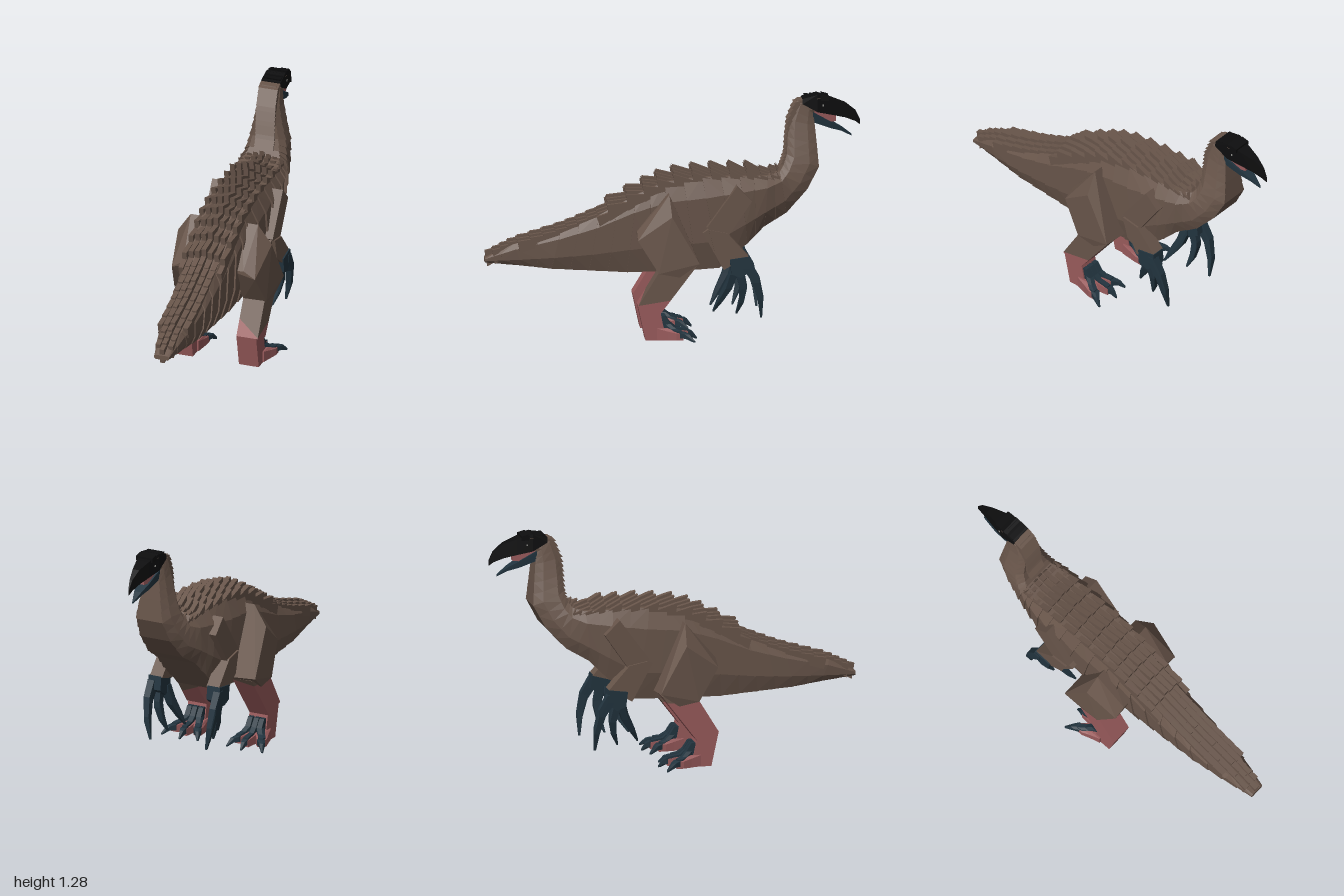
import * as THREE from 'three';
import { ConvexGeometry } from 'three/addons/geometries/ConvexGeometry.js';

const mat = (name, color) => {
  const m = new THREE.MeshStandardMaterial({ color });
  m.name = name;
  return m;
};

export function createModel() {
  const brown = mat('brown plumage', 0x68554a);
  const red = mat('dusty red skin', 0x985a5b);
  const slate = mat('dark slate claws', 0x22343f);
  const black = mat('black beak', 0x0d0d0e);
  const grey = mat('grey eye', 0x8a8a86);

  const root = new THREE.Group();
  root.name = 'featheredDinosaur';
  const group = (name) => {
    const g = new THREE.Group();
    g.name = name;
    root.add(g);
    return g;
  };

  // Faceted solid around a few [x, y, z] corners
  const hull = (parent, name, material, pts) => {
    const mesh = new THREE.Mesh(new ConvexGeometry(pts.map((p) => new THREE.Vector3(...p))), material);
    mesh.name = name;
    parent.add(mesh);
    return mesh;
  };
  // Slab with a [z, y] outline between two x positions
  const slab = (parent, name, material, outline, xa, xb) =>
    hull(parent, name, material, outline.flatMap(([z, y]) => [[xa, y, z], [xb, y, z]]));
  // Jointed limb through [x, y, z, half thickness] points
  const chain = (parent, name, material, pts) => {
    const cube = ([x, y, z, r]) => [-r, r].flatMap((a) => [-r, r].flatMap((b) => [[x + a, y + b, z - r], [x + a, y + b, z + r]]));
    for (let i = 0; i < pts.length - 1; i++) hull(parent, name, material, [...cube(pts[i]), ...cube(pts[i + 1])]);
  };

  // Body slices, tail to head: top z, top y, bottom z, bottom y, half width
  const slices = [
    [1.0, 0.425, 1.0, 0.4, 0.04], [0.85, 0.5, 0.8, 0.385, 0.075], [0.6, 0.575, 0.65, 0.37, 0.1],
    [0.4, 0.655, 0.45, 0.36, 0.115], [0.2, 0.765, 0.25, 0.35, 0.13], [0.05, 0.835, 0.0, 0.355, 0.145],
    [-0.15, 0.86, -0.24, 0.37, 0.158], [-0.35, 0.86, -0.39, 0.5, 0.16], [-0.5, 0.86, -0.48, 0.59, 0.15],
    [-0.565, 0.88, -0.6, 0.66, 0.13], [-0.585, 0.91, -0.71, 0.78, 0.115], [-0.605, 0.97, -0.775, 0.9, 0.1],
    [-0.61, 1.06, -0.765, 1.02, 0.078], [-0.62, 1.15, -0.755, 1.12, 0.062], [-0.66, 1.25, -0.75, 1.18, 0.055],
    [-0.75, 1.265, -0.755, 1.18, 0.052],
  ];
  const sliceAt = (t) => {
    const i = Math.min(Math.floor(t), slices.length - 2);
    return slices[i].map((v, k) => THREE.MathUtils.lerp(v, slices[i + 1][k], t - i));
  };
  // Eight-cornered ring of a slice, k widens it
  const ring = ([zt, yt, zb, yb, w], k) => [[0, 0.72], [0.22, 1], [0.7, 1], [1, 0.78]].flatMap(([t, f]) =>
    [-1, 1].map((s) => [s * w * f * k, yt + (yb - yt) * t, zt + (zb - zt) * t]));
  const body = group('body');
  for (let t = 0; t < slices.length - 1; t += 0.5) {
    const name = t < 4 ? 'tailSegment' : t < 9 ? 'torsoSegment' : 'neckSegment';
    hull(body, name, brown, [...ring(sliceAt(t), 1.05), ...ring(sliceAt(t + 0.5), 0.98)]);
  }

  // Staggered feather plates over the back and tail, each raised at its rear end
  const feathers = group('backFeathers');
  for (let c = -3; c <= 3; c++) {
    for (let t = c % 2 ? 0.25 : 0; t < 8.8; t += t < 3 ? 0.27 : 0.5) {
      const rear = sliceAt(t), front = sliceAt(Math.min(t + 0.75, 9));
      const x = c * 0.036, drop = Math.abs(c) * 0.011;
      if (Math.abs(x) > rear[4] * 0.95) continue;
      const lift = (t < 3 ? 0.035 : t < 7.5 ? 0.07 : 0.04) - drop;
      slab(feathers, 'featherPlate', brown, [
        [rear[0], rear[1] + lift], [rear[0] - 0.015, rear[1] - 0.05],
        [front[0], front[1] - 0.05], [front[0], front[1] + 0.005 - drop],
      ], x - 0.013, x + 0.013);
    }
  }
  // Ribbed nape
  for (let t = 10; t < 14.7; t += 0.3) {
    const a = sliceAt(t), b = sliceAt(t + 0.35);
    slab(feathers, 'napeRib', brown, [[a[0] + 0.014, a[1]], [a[0] - 0.05, a[1]], [b[0] - 0.05, b[1]], [b[0], b[1]]], -0.054, 0.054);
  }

  // Head
  const head = group('head');
  const face = ([z, lo, hi, wl, wh]) => [[wl, lo, z], [-wl, lo, z], [wh, hi, z], [-wh, hi, z]];
  const beak = [
    [-0.69, 1.235, 1.262, 0.058, 0.054], [-0.77, 1.19, 1.283, 0.057, 0.053], [-0.85, 1.172, 1.257, 0.04, 0.036],
    [-0.92, 1.155, 1.232, 0.024, 0.02], [-0.975, 1.132, 1.19, 0.01, 0.008], [-1.0, 1.112, 1.14, 0.002, 0.002],
  ];
  for (let i = 0; i < beak.length - 1; i++) hull(head, 'upperBeak', black, [...face(beak[i]), ...face(beak[i + 1])]);
  for (let i = 0; i < 4; i++) {
    slab(head, 'crownFeather', black, [[-0.7 - i * 0.03, 1.275 + i * 0.003], [-0.74 - i * 0.03, 1.274], [-0.74 - i * 0.03, 1.25], [-0.71 - i * 0.03, 1.25]], -0.05, 0.05);
  }
  hull(head, 'mouthLining', red, [...face([-0.75, 1.13, 1.2, 0.04, 0.04]), ...face([-0.87, 1.135, 1.175, 0.022, 0.022])]);
  const jaw = [[-0.745, 1.135, 1.19, 0.046, 0.05], [-0.84, 1.1, 1.135, 0.034, 0.036], [-0.9, 1.082, 1.102, 0.02, 0.022], [-0.955, 1.052, 1.062, 0.003, 0.003]];
  for (let i = 0; i < jaw.length - 1; i++) hull(head, 'lowerJaw', slate, [...face(jaw[i]), ...face(jaw[i + 1])]);

  // Paired parts, s = 1 on the model's left
  for (const s of [1, -1]) {
    const side = s > 0 ? 'left' : 'right';
    const m = (pts) => pts.map(([x, ...rest]) => [s * x, ...rest]);
    const eye = new THREE.Mesh(new THREE.BoxGeometry(0.004, 0.009, 0.009), grey);
    eye.name = side + 'Eye';
    eye.position.set(s * 0.051, 1.225, -0.8);
    head.add(eye);

    // Thigh
    const leg = group(side + 'Leg');
    hull(leg, 'thigh', brown, m([
      [0.1, 0.78, 0.03], [0.1, 0.57, 0.2], [0.13, 0.36, 0.09], [0.13, 0.34, -0.02], [0.12, 0.41, -0.13],
      [0.19, 0.78, 0.03], [0.265, 0.67, 0.02], [0.17, 0.58, 0.2], [0.235, 0.54, 0.2], [0.26, 0.365, 0.09],
      [0.26, 0.345, -0.02], [0.28, 0.42, -0.125],
    ]));

    // Shin, with the bare skin reaching higher on the right leg
    const front = (x, t) => [x, 0.4 - 0.25 * t, -0.11 + 0.19 * t];
    const back = (x, t) => [x, 0.37 - 0.18 * t, 0.09 + 0.11 * t];
    const [xi, xo] = [0.13, 0.25];
    const cut = s > 0
      ? [front(xi, 0.5), back(xi, 0.55), front(xo, 0.72), back(xo, 0.98)]
      : [front(xi, 0.05), back(xi, 0.05), front(xo, 0.15), back(xo, 0.05)];
    hull(leg, 'featheredShin', brown, m([front(xi, 0), back(xi, 0), front(xo, 0), back(xo, 0), ...cut]));
    hull(leg, 'bareShin', red, m([front(xi, 1), back(xi, 1), front(xo, 1), back(xo, 1), ...cut]));
    slab(leg, 'ankle', red, [[0.2, 0.19], [0.08, 0.15], [0.05, 0.005], [0.16, 0.005]], s * 0.13, s * 0.242);

    // Toes with dark scutes and claws
    for (const [x0, x1, x2, z1, z2] of [[0.15, 0.125, 0.09, -0.02, -0.09], [0.187, 0.187, 0.187, -0.05, -0.113], [0.22, 0.262, 0.305, -0.02, -0.095]]) {
      const xm = (x0 + x1) / 2;
      chain(leg, 'toe', red, m([[x0, 0.04, 0.07, 0.03], [xm, 0.032, 0.02, 0.024], [x1, 0.028, z1, 0.019]]));
      chain(leg, 'toeScute', slate, m([[x0, 0.12, 0.068, 0.014], [x0, 0.075, 0.04, 0.015], [xm, 0.053, 0.012, 0.014], [x1, 0.044, z1, 0.014]]));
      chain(leg, 'toeClaw', slate, m([[x1, 0.036, z1 - 0.01, 0.016], [(x1 + x2) / 2, 0.032, (z1 + z2) / 2, 0.011], [x2, 0.006, z2, 0.004]]));
    }

    // Arm
    const arm = group(side + 'Arm');
    slab(arm, 'upperArm', brown, [[-0.33, 0.82], [-0.41, 0.74], [-0.26, 0.52], [-0.17, 0.6]], s * 0.13, s * 0.2);
    slab(arm, 'forearm', brown, [[-0.18, 0.59], [-0.28, 0.57], [-0.395, 0.44], [-0.29, 0.41], [-0.21, 0.47]], s * 0.135, s * 0.21);
    for (let i = 0; i < 6; i++) {
      const z = -0.15 - i * 0.018, y = 0.57 - i * 0.033;
      slab(arm, 'armFeather', brown, [[z, y], [z - 0.02, y - 0.035], [z - 0.1, y + 0.01], [z - 0.06, y + 0.04]], s * (0.155 + i * 0.002), s * 0.19);
    }
    slab(arm, 'hand', slate, [[-0.29, 0.43], [-0.395, 0.445], [-0.405, 0.37], [-0.35, 0.33], [-0.3, 0.35]], s * 0.14, s * 0.217);

    // Long curved hand claws
    const claws = [
      [[0.155, 0.36, -0.315, 0.019], [0.14, 0.28, -0.29, 0.017], [0.12, 0.2, -0.245, 0.012], [0.1, 0.135, -0.21, 0.004]],
      [[0.18, 0.36, -0.345, 0.02], [0.175, 0.28, -0.365, 0.017], [0.16, 0.2, -0.355, 0.012], [0.14, 0.13, -0.33, 0.004]],
      [[0.2, 0.4, -0.38, 0.02], [0.2, 0.32, -0.43, 0.018], [0.19, 0.22, -0.455, 0.014], [0.17, 0.115, -0.46, 0.005]],
    ];
    for (const claw of claws) chain(arm, 'handClaw', slate, m(claw));
  }
  return root;
}
